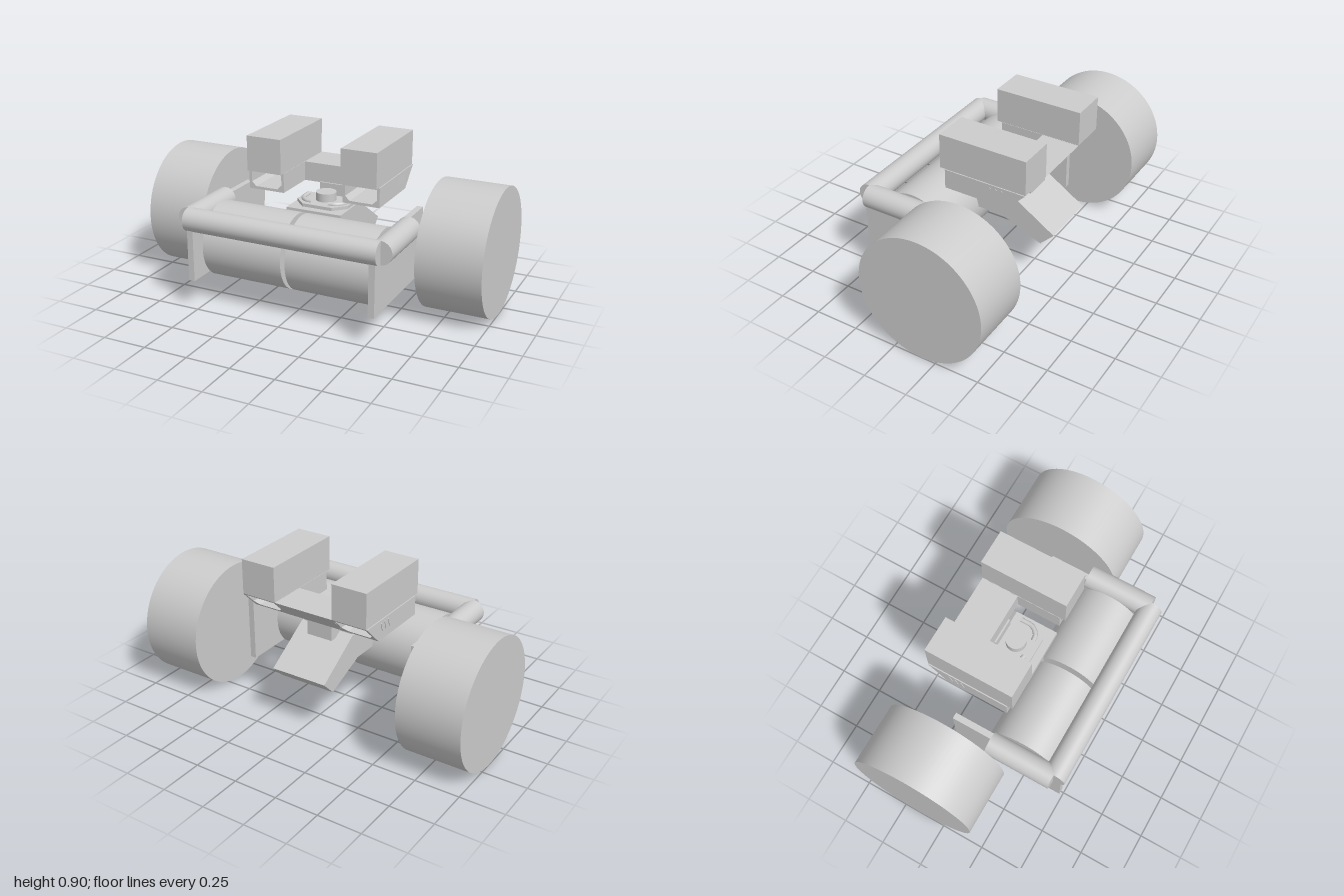
import * as THREE from 'three';

export function createModel() {
  const model = new THREE.Group();
  model.name = 'wheeledVehicle';
  const grey = new THREE.MeshStandardMaterial({ color: 0xcccccc });
  grey.name = 'plain grey';
  const CX = -0.0025; // slight sideways offset of the body

  const add = (name, geometry, x = 0, y = 0, z = 0) => {
    const mesh = new THREE.Mesh(geometry, grey);
    mesh.name = name;
    mesh.position.set(x, y, z);
    model.add(mesh);
    return mesh;
  };
  // Box given by its limits on each axis
  const block = (name, x0, x1, y0, y1, z0, z1) =>
    add(name, new THREE.BoxGeometry(x1 - x0, y1 - y0, z1 - z0),
      (x0 + x1) / 2, (y0 + y1) / 2, (z0 + z1) / 2);
  // Cylinder lying along x
  const axle = (name, r, length, x, y, z) => {
    add(name, new THREE.CylinderGeometry(r, r, length, 72).rotateZ(Math.PI / 2), x, y, z);
  };
  const polygon = (points) => new THREE.Shape(points.map(([a, b]) => new THREE.Vector2(a, b)));
  // Side profile given as [z, y], extruded across x
  const profileAcross = (name, points, width) => {
    const g = new THREE.ExtrudeGeometry(polygon(points), { depth: width, bevelEnabled: false });
    g.translate(0, 0, -width / 2).rotateY(-Math.PI / 2);
    add(name, g, CX, 0, 0);
  };

  // Hollow mount: chamfered channel whose rear end is cut diagonally
  const mountGeometry = () => {
    const shape = polygon([[-0.1075, 0.595], [0.1075, 0.595], [0.1075, 0.706], [-0.1075, 0.706]]);
    shape.holes.push(polygon([[-0.092, 0.695], [0.092, 0.695], [0.092, 0.635],
      [0.066, 0.61], [-0.066, 0.61], [-0.092, 0.635]]));
    const g = new THREE.ExtrudeGeometry(shape, { depth: 1, bevelEnabled: false });
    const p = g.attributes.position;
    for (let i = 0; i < p.count; i++) {
      p.setZ(i, p.getZ(i) > 0.5 ? 0.08 : -0.4 + (0.706 - p.getY(i)));
    }
    g.computeVertexNormals();
    return g;
  };

  for (const s of [-1, 1]) {
    const side = s > 0 ? 'left' : 'right';
    axle(side + 'Wheel', 0.36, 0.362, s * 0.819, 0.362, -0.165);
    axle(side + 'Roller', 0.21, 0.474, CX + s * 0.25, 0.337, 0.23);
    // Side plate and rail arm
    const px = CX + s * 0.53;
    block(side + 'Plate', px - 0.0175, px + 0.0175, 0.165, 0.55, -0.165, 0.495);
    add(side + 'RailArm', new THREE.CylinderGeometry(0.065, 0.065, 0.385, 48)
      .rotateX(Math.PI / 2), CX + s * 0.557, 0.507, 0.2625);
    // Upper box on its hollow mount
    const bx = CX + s * 0.283;
    block(side + 'UpperBox', bx - 0.1035, bx + 0.1035, 0.706, 0.905, -0.4, 0.112);
    add(side + 'Mount', mountGeometry(), CX + s * 0.285);
    for (let i = 0; i < 3; i++) {
      const vent = add(side + 'Vent', new THREE.BoxGeometry(0.006, 0.05, 0.008),
        CX + s * 0.393, 0.665, -0.26 + i * 0.035);
      vent.rotation.x = -0.3;
    }
  }

  // Front rail
  axle('frontRail', 0.065, 1.118, CX, 0.507, 0.457);

  // Bridge between the mounts, cut diagonally underneath at the rear
  profileAcross('bridge', [[-0.4, 0.705], [-0.29, 0.595], [-0.18, 0.595], [-0.18, 0.705]], 0.36);

  // Central hub with a sloping rear end
  profileAcross('hub', [[0.075, 0.36], [0.075, 0.515], [-0.18, 0.515],
    [-0.45, 0.34], [-0.37, 0.26], [-0.13, 0.36]], 0.33);
  block('post', CX - 0.08, CX + 0.075, 0.49, 0.6, -0.255, -0.17);

  // Control pad with knob and curved ridges
  const pad = new THREE.ExtrudeGeometry(polygon([[-0.155, 0.17], [0.155, 0.17], [0.155, 0.04],
    [0.09, -0.03], [-0.09, -0.03], [-0.155, 0.04]]), { depth: 0.02, bevelEnabled: false });
  add('controlPad', pad.rotateX(-Math.PI / 2), CX, 0.513, 0);
  add('knob', new THREE.CylinderGeometry(0.058, 0.058, 0.07, 40), CX, 0.545, -0.09);
  for (const s of [-1, 1]) {
    const path = new THREE.CatmullRomCurve3([[0.13, -0.13], [0.125, -0.06], [0.09, -0.02], [0.05, -0.012]]
      .map(([x, z]) => new THREE.Vector3(s * x, 0, z)));
    add(s > 0 ? 'leftRidge' : 'rightRidge', new THREE.TubeGeometry(path, 20, 0.014, 8), CX, 0.535, 0);
  }

  return model;
}
